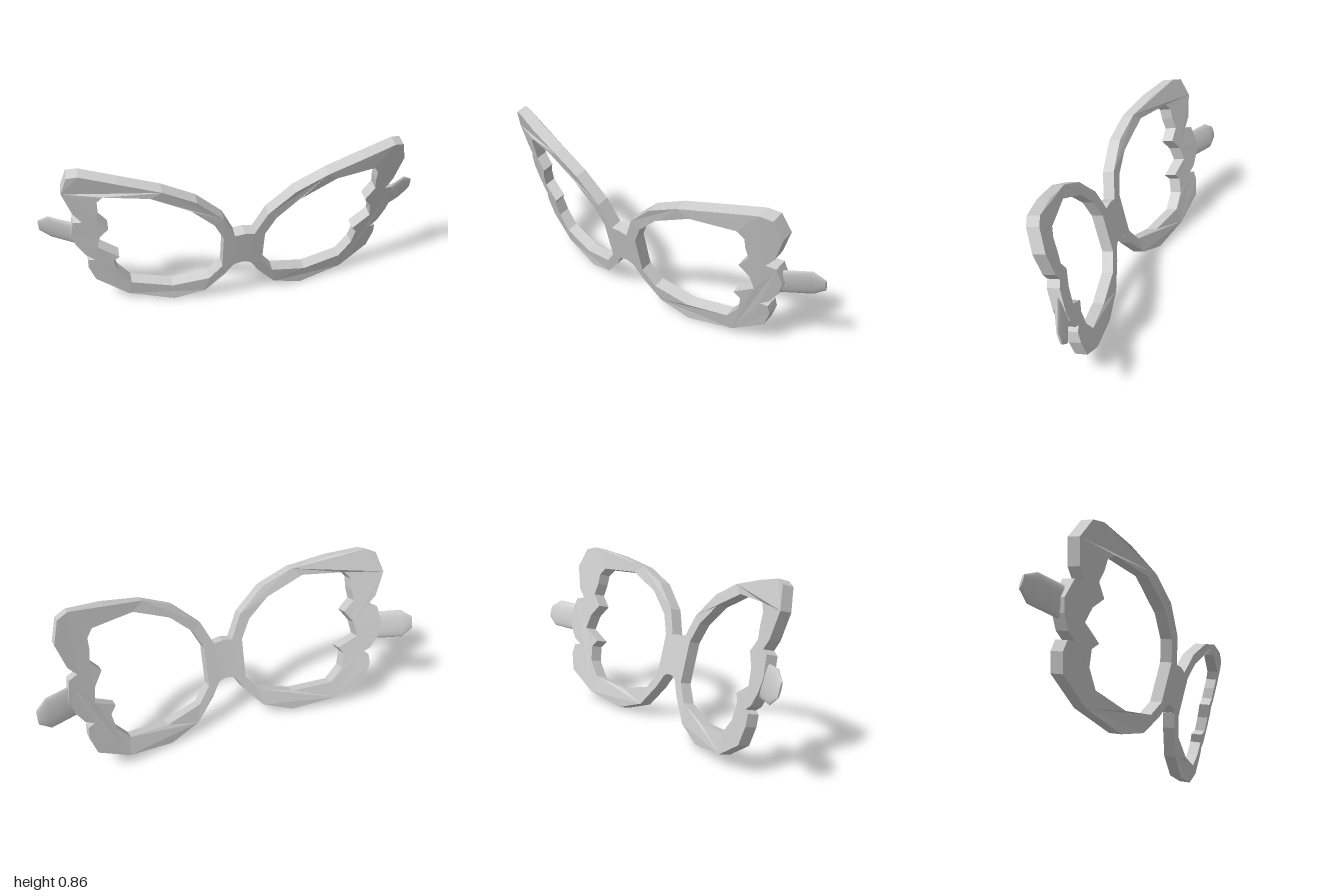
import * as THREE from 'three';

// Upper edge, scalloped outer side, lower edge, nose side (front-face x, y)
const RIM = [
  [0.05, 0.45], [0.11, 0.575], [0.24, 0.695], [0.4, 0.768], [0.6, 0.815], [0.77, 0.845],
  [0.825, 0.83], [0.86, 0.73], [0.82, 0.605], [0.78, 0.555], [0.825, 0.545], [0.845, 0.45],
  [0.825, 0.385], [0.785, 0.32], [0.74, 0.29], [0.775, 0.283], [0.78, 0.23], [0.75, 0.14],
  [0.59, 0.04], [0.35, 0], [0.19, 0.055], [0.09, 0.17], [0.05, 0.235],
];
const HOLE = [
  [0.105, 0.44], [0.155, 0.54], [0.27, 0.645], [0.455, 0.73], [0.67, 0.73], [0.7, 0.695],
  [0.7, 0.64], [0.71, 0.58], [0.66, 0.52], [0.705, 0.46], [0.72, 0.385], [0.62, 0.325],
  [0.65, 0.29], [0.635, 0.21], [0.57, 0.13], [0.36, 0.105], [0.17, 0.15], [0.105, 0.235],
];
const BRIDGE = [
  [-0.052, 0.45], [-0.03, 0.453], [0, 0.458], [0.03, 0.453], [0.052, 0.45],
  [0.052, 0.235], [0.03, 0.248], [0, 0.254], [-0.03, 0.248], [-0.052, 0.235],
];

const points = (list, side = 1) => list.map(([x, y]) => new THREE.Vector2(x * side, y));

// Extrudes an outline, leans it forward and wraps its ends backward
function curvedPlate(shape) {
  const geo = new THREE.ExtrudeGeometry(shape, { depth: 1, bevelEnabled: false });
  const p = geo.attributes.position;
  for (let i = 0; i < p.count; i++) {
    const x = p.getX(i), y = p.getY(i), d = 1 - p.getZ(i);
    p.setXYZ(i, x, y + 0.016 * d, 0.267 * y + 0.005 - 0.25 * x * x - 0.062 * d);
  }
  geo.computeVertexNormals();
  return geo;
}

// Short lens-shaped arm lofted through cross-sections
function armGeometry(side) {
  const N = 16;
  // x, centre y, centre z, half height, half thickness
  const sections = [
    [0.8, 0.443, -0.072, 0.073, 0.021],
    [0.945, 0.463, -0.148, 0.073, 0.018],
    [1.0, 0.467, -0.166, 0.033, 0.006],
  ];
  const pos = [], index = [];
  for (const [x, cy, cz, h, t] of sections) {
    for (let i = 0; i < N; i++) {
      const a = (i / N) * Math.PI * 2, dy = h * Math.cos(a);
      pos.push(side * x, cy + dy, cz + 0.27 * dy + t * Math.sin(a));
    }
  }
  const face = (a, b, c) => index.push(...(side > 0 ? [a, b, c] : [a, c, b]));
  for (let s = 0; s < sections.length - 1; s++) {
    for (let i = 0; i < N; i++) {
      const a = s * N + i, b = s * N + (i + 1) % N;
      face(a, a + N, b);
      face(b, a + N, b + N);
    }
  }
  // Tip cap on its own vertices
  const last = (sections.length - 1) * N, cap = pos.length / 3;
  pos.push(...pos.slice(last * 3));
  for (let i = 1; i < N - 1; i++) face(cap, cap + i + 1, cap + i);
  const geo = new THREE.BufferGeometry();
  geo.setAttribute('position', new THREE.Float32BufferAttribute(pos, 3));
  geo.setIndex(index);
  geo.computeVertexNormals();
  return geo;
}

export function createModel() {
  const group = new THREE.Group();
  group.name = 'butterflyGlasses';
  const grey = new THREE.MeshStandardMaterial({ color: 0xcccccc, side: THREE.DoubleSide });
  grey.name = 'frameGrey';
  const add = (name, geo) => {
    const mesh = new THREE.Mesh(geo, grey);
    mesh.name = name;
    group.add(mesh);
  };

  for (const [label, side] of [['left', 1], ['right', -1]]) {
    const shape = new THREE.Shape(points(RIM, side));
    shape.holes.push(new THREE.Path(points(HOLE, side)));
    add(label + 'WingRim', curvedPlate(shape));
    add(label + 'Arm', armGeometry(side));
  }
  add('bridge', curvedPlate(new THREE.Shape(points(BRIDGE))));
  return group;
}
